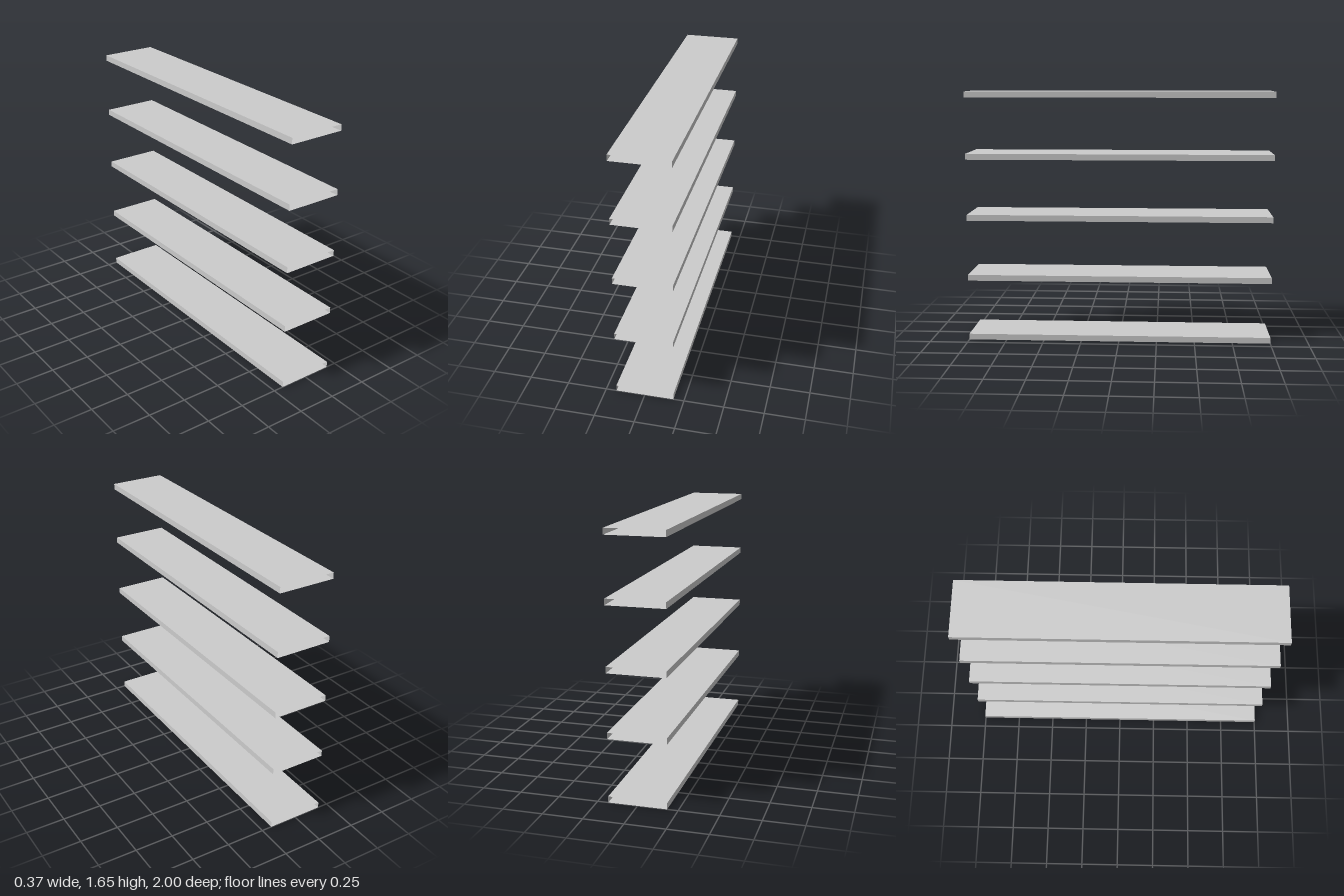
import * as THREE from 'three';

const WIDTH = 0.366, THICKNESS = 0.039, LENGTH = 2;
const COUNT = 5, SPACING = 0.402;

// Thin-walled rectangular sleeve: a box without its front and back faces
function sleeveGeometry(width, height, length) {
  const geometry = new THREE.BoxGeometry(width, height, length);
  // The box lists its sides, top and bottom first: four faces of six indices
  geometry.setIndex(Array.from(geometry.index.array.slice(0, 24)));
  geometry.clearGroups();
  return geometry;
}

export function createModel() {
  const model = new THREE.Group();
  model.name = 'shelves';
  const material = new THREE.MeshStandardMaterial({ color: 0xcccccc, side: THREE.DoubleSide });
  const geometry = sleeveGeometry(WIDTH, THICKNESS, LENGTH);

  // Evenly spaced stack of shelf boards, open at both ends
  for (let i = 0; i < COUNT; i++) {
    const shelf = new THREE.Mesh(geometry, material);
    shelf.name = `shelf${i + 1}`;
    shelf.position.y = THICKNESS / 2 + i * SPACING;
    model.add(shelf);
  }
  return model;
}
